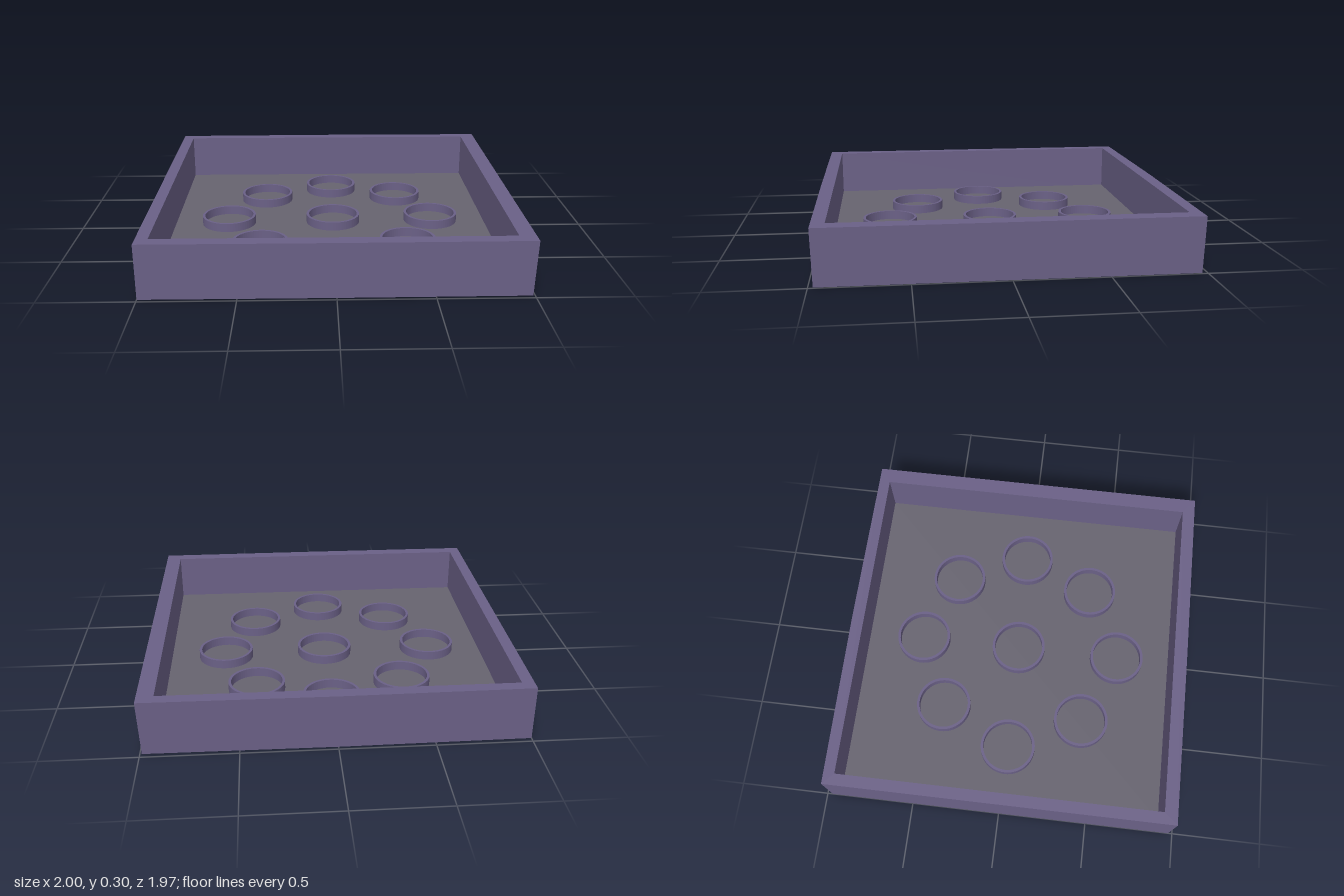
import * as THREE from 'three';

const HEIGHT = 0.3, FLOOR = 0.035, RING_TOP = 0.085;

function outline(Type, points) {
  return new Type(points.map(([x, z]) => new THREE.Vector2(x, -z)));
}

// Extrudes a plan shape (x, -z) upwards from y0 to y1
function slab(shape, y0, y1, curveSegments = 12) {
  const geo = new THREE.ExtrudeGeometry(shape, { depth: y1 - y0, bevelEnabled: false, curveSegments });
  geo.rotateX(-Math.PI / 2);
  geo.translate(0, y0, 0);
  return geo;
}

// Outer walls lean inwards slightly towards the base
function taper(geo) {
  const p = geo.attributes.position;
  for (let i = 0; i < p.count; i++) {
    const x = p.getX(i), z = p.getZ(i), k = 0.01 * (1 - p.getY(i) / HEIGHT);
    if (x > 0.95) p.setX(i, x - k);
    if (Math.abs(z) > 0.95) p.setZ(i, z - Math.sign(z) * k * 0.6);
  }
  geo.computeVertexNormals();
  return geo;
}

export function createModel() {
  const model = new THREE.Group();
  model.name = 'tray';
  const purple = new THREE.MeshStandardMaterial({ color: 0x6a6086 });
  purple.name = 'muted purple';
  const grey = new THREE.MeshStandardMaterial({ color: 0x66636f });
  grey.name = 'warm grey';

  const add = (name, geo, material) => {
    const mesh = new THREE.Mesh(geo, material);
    mesh.name = name;
    model.add(mesh);
    return mesh;
  };

  const outer = [[-1, 0.983], [0, 0.985], [1, 0.981], [1, -0.978], [0, -0.985], [-1, -0.977]];
  const inner = [[-0.935, 0.91], [0.912, 0.91], [0.912, -0.915], [-0.935, -0.915]];

  // Surrounding walls
  const wallShape = outline(THREE.Shape, outer);
  wallShape.holes.push(outline(THREE.Path, inner));
  add('walls', taper(slab(wallShape, 0, HEIGHT)), purple);

  // Base under the tray and the grey lining on it
  add('base', slab(outline(THREE.Shape, inner), 0, FLOOR - 0.005), purple);
  add('floorLining', slab(outline(THREE.Shape, inner), FLOOR - 0.005, FLOOR), grey);

  // Raised rings: one in the middle, eight around it
  const ringShape = new THREE.Shape().absarc(0, 0, 0.158, 0, Math.PI * 2, false);
  ringShape.holes.push(new THREE.Path().absarc(0, 0, 0.143, 0, Math.PI * 2, true));
  const ringGeo = slab(ringShape, FLOOR, RING_TOP, 32);
  const centres = [
    [0.003, 0], [0.003, -0.58], [0.41, -0.417], [0.59, -0.012], [0.415, 0.395],
    [0.003, 0.595], [-0.413, 0.417], [-0.618, 0.008], [-0.407, -0.4],
  ];
  centres.forEach(([x, z], i) => add(`ring${i + 1}`, ringGeo, purple).position.set(x, 0, z));

  return model;
}
